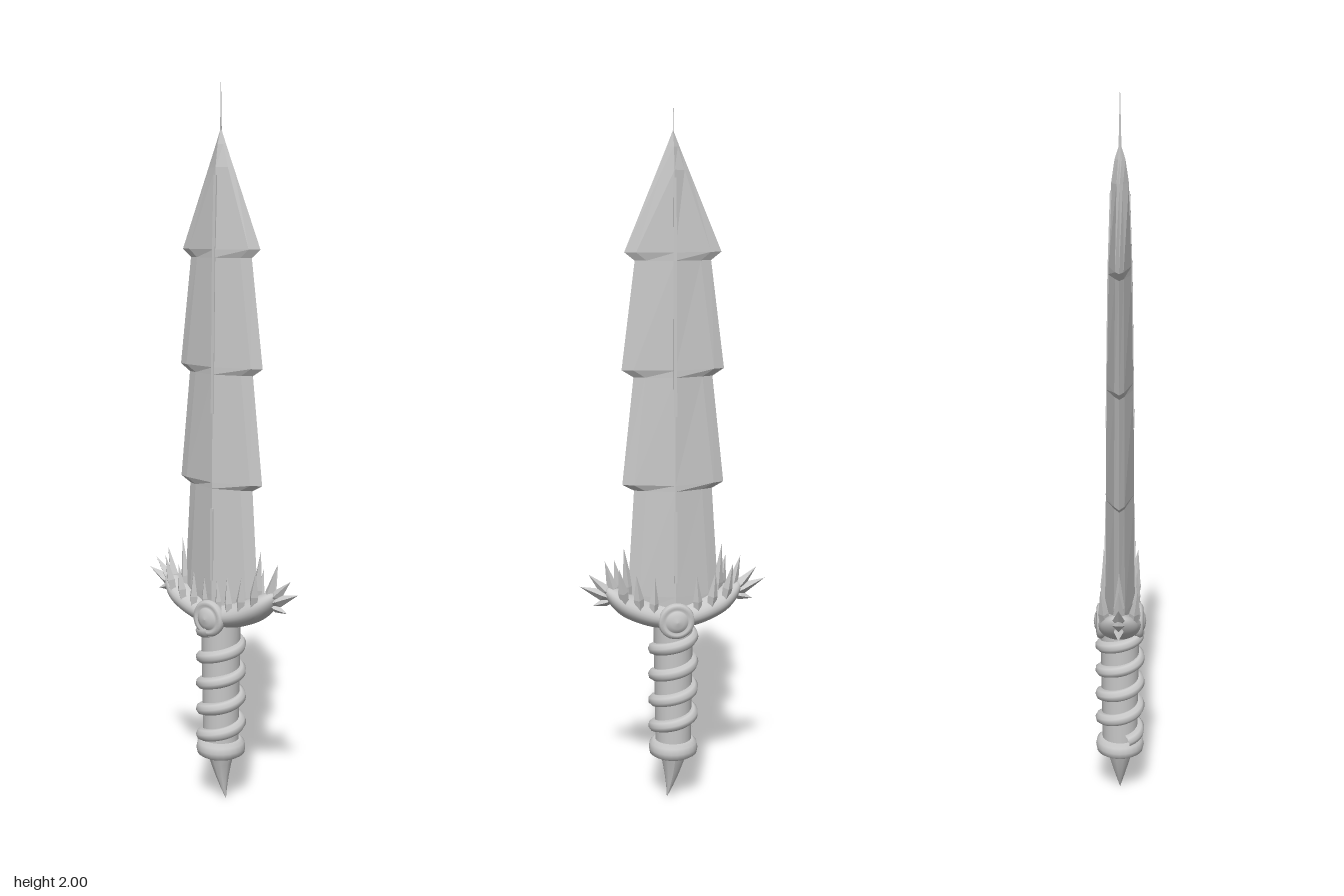
import * as THREE from 'three';

const steel = new THREE.MeshStandardMaterial({ color: 0xc8c8c8 });
steel.name = 'steel';
const steelFlat = steel.clone();
steelFlat.flatShading = true;

function add(parent, name, geometry, material = steel) {
  const mesh = new THREE.Mesh(geometry, material);
  mesh.name = name;
  parent.add(mesh);
  return mesh;
}

const lathe = (profile, sides) => new THREE.LatheGeometry(profile.map(q => new THREE.Vector2(...q)), sides);

// Faceted blade section: centre ridge, flat, bevelled edge. Rows are [y, half width, half thickness].
const rows = [
  [0.56, 0.122, 0.042], [0.6, 0.127, 0.042], [0.895, 0.108, 0.039], [0.912, 0.14, 0.039],
  [1.205, 0.108, 0.036], [1.225, 0.14, 0.036], [1.515, 0.103, 0.031], [1.537, 0.131, 0.031],
  [1.75, 0.042, 0.023], [1.81, 0.017, 0.014], [1.85, 0.001, 0.001],
];

function bladeGeometry() {
  const pos = [], index = [], n = 8;
  rows.forEach(([y, w, t], r) => {
    const inner = Math.max(w - 0.03, w * 0.7);
    const ring = [[w, 0], [inner, t * 0.36], [0, t], [-inner, t * 0.36],
      [-w, 0], [-inner, -t * 0.36], [0, -t], [inner, -t * 0.36]];
    for (const [x, z] of ring) pos.push(x, y, z);
    if (r === 0) return;
    for (let i = 0; i < n; i++) {
      const a = (r - 1) * n + i, b = (r - 1) * n + (i + 1) % n;
      index.push(a, a + n, b, b, a + n, b + n);
    }
  });
  const last = (rows.length - 1) * n;
  for (let i = 1; i < n - 1; i++) {
    index.push(0, i, i + 1);
    index.push(last, last + i + 1, last + i);
  }
  const g = new THREE.BufferGeometry();
  g.setAttribute('position', new THREE.Float32BufferAttribute(pos, 3));
  g.setIndex(index);
  const flat = g.toNonIndexed();
  flat.computeVertexNormals();
  return flat;
}

// Four-sided spike from a base point to a tip point
function spike(parent, base, tip, radius) {
  const a = new THREE.Vector3(...base);
  const dir = new THREE.Vector3(...tip).sub(a);
  const len = dir.length();
  const mesh = add(parent, 'guardSpike',
    lathe([[0, 0], [radius * 0.8, 0], [radius, len * 0.3], [0, len]], 4), steelFlat);
  mesh.position.copy(a);
  mesh.quaternion.setFromUnitVectors(new THREE.Vector3(0, 1, 0), dir.normalize());
}

export function createModel() {
  const sword = new THREE.Group();
  sword.name = 'dagger';

  // Blade with its needle tip and raised centre ribs
  const blade = new THREE.Group();
  blade.name = 'blade';
  sword.add(blade);
  add(blade, 'bladeBody', bladeGeometry(), steelFlat);
  const needle = add(blade, 'needleTip', new THREE.ConeGeometry(0.006, 0.25, 4), steelFlat);
  needle.scale.x = 0.2;
  needle.position.y = 1.875;
  for (const side of [1, -1]) {
    for (const [y0, y1, z0, z1] of [[0.64, 0.84, 0.0415, 0.0395], [1.1, 1.515, 0.037, 0.031], [1.515, 1.73, 0.031, 0.024]]) {
      const rib = add(blade, 'centreRib', new THREE.BoxGeometry(0.009, y1 - y0, 0.006), steelFlat);
      rib.position.set(0, (y0 + y1) / 2, side * ((z0 + z1) / 2 - 0.001));
      rib.rotation.x = side * Math.atan2(z1 - z0, y1 - y0);
    }
  }

  // Crescent guard: a flattened capsule bent upwards, narrower towards the ends
  const guard = new THREE.Group();
  guard.name = 'guard';
  sword.add(guard);
  const crescent = new THREE.CapsuleGeometry(0.06, 0.262, 10, 28, 24);
  crescent.rotateZ(Math.PI / 2);
  const p = crescent.attributes.position;
  for (let i = 0; i < p.count; i++) {
    const x = p.getX(i);
    p.setY(i, p.getY(i) * 0.62 + 0.54 + 2.0 * x * x);
    p.setZ(i, p.getZ(i) * (1 - 7 * x * x));
  }
  crescent.computeVertexNormals();
  add(guard, 'crescent', crescent);

  // Spikes on both rims, along the middle and at the ends
  for (const s of [1, -1]) {
    for (const f of [1, -1]) {
      spike(guard, [s * 0.062, 0.555, f * 0.043], [s * 0.058, 0.66, f * 0.047], 0.013);
      spike(guard, [s * 0.1, 0.57, f * 0.042], [s * 0.11, 0.67, f * 0.05], 0.014);
      spike(guard, [s * 0.14, 0.59, f * 0.038], [s * 0.158, 0.69, f * 0.05], 0.014);
    }
    spike(guard, [s * 0.025, 0.56, 0.04], [s * 0.022, 0.645, 0.046], 0.01);
    spike(guard, [s * 0.122, 0.58, 0], [s * 0.137, 0.735, 0], 0.015);
    spike(guard, [s * 0.16, 0.59, 0], [s * 0.19, 0.7, 0], 0.016);
    spike(guard, [s * 0.172, 0.6, 0], [s * 0.235, 0.665, 0], 0.016);
    spike(guard, [s * 0.17, 0.595, 0], [s * 0.26, 0.632, 0], 0.017);
    spike(guard, [s * 0.175, 0.59, 0], [s * 0.225, 0.575, 0], 0.013);
  }

  // Round bosses front and back
  const bossProfile = [[0.04, -0.02], [0.049, 0], [0.051, 0.009], [0.047, 0.017], [0.038, 0.02],
    [0.033, 0.014], [0.03, 0.019], [0.018, 0.025], [0, 0.028]];
  for (const f of [1, -1]) {
    const boss = add(guard, 'boss', lathe(bossProfile, 32));
    boss.position.set(0, 0.536, f * 0.046);
    boss.rotation.x = f * Math.PI / 2;
  }

  // Grip core, spiral wrap and collar
  const handle = new THREE.Group();
  handle.name = 'handle';
  sword.add(handle);
  const core = add(handle, 'gripCore', new THREE.CylinderGeometry(0.055, 0.05, 0.36, 24));
  core.position.y = 0.335;
  const path = [];
  for (let i = 0; i <= 90; i++) {
    const k = i / 90, a = -1.2 + k * Math.PI * 2 * 4.2;
    path.push(new THREE.Vector3(Math.sin(a) * 0.053, 0.185 + k * 0.315, Math.cos(a) * 0.053));
  }
  add(handle, 'spiralWrap', new THREE.TubeGeometry(new THREE.CatmullRomCurve3(path), 260, 0.0175, 8));
  add(handle, 'pommelCollar', lathe([[0, 0.128], [0.055, 0.13], [0.066, 0.137], [0.069, 0.152],
    [0.066, 0.168], [0.055, 0.177], [0, 0.178]], 24));

  // Pommel spike, its point leaning to one side
  const pommel = new THREE.ConeGeometry(0.04, 0.14, 10, 4);
  pommel.rotateX(Math.PI);
  pommel.translate(0, 0.07, 0);
  const v = pommel.attributes.position;
  for (let i = 0; i < v.count; i++) {
    const k = 1 - v.getY(i) / 0.14;
    v.setX(i, v.getX(i) + 0.018 * k * k);
  }
  pommel.computeVertexNormals();
  add(handle, 'pommelSpike', pommel);

  return sword;
}
